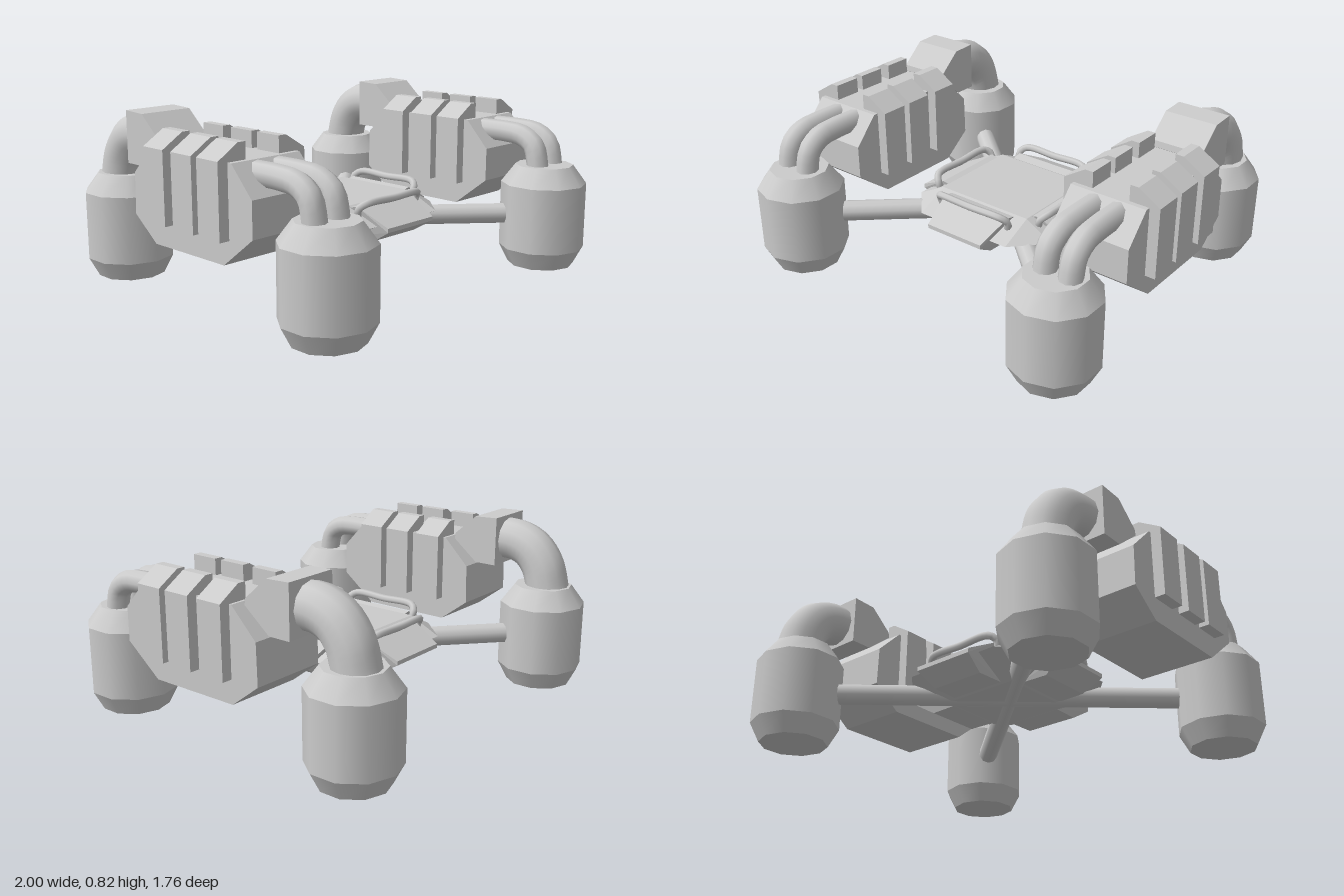
import * as THREE from 'three';
import { mergeGeometries } from 'three/addons/utils/BufferGeometryUtils.js';
import { ConvexGeometry } from 'three/addons/geometries/ConvexGeometry.js';

const smooth = new THREE.MeshStandardMaterial({ color: 0xcccccc });
const flat = new THREE.MeshStandardMaterial({ color: 0xcccccc, flatShading: true });

function add(parent, name, geometry, material = flat) {
  const mesh = new THREE.Mesh(geometry, material);
  mesh.name = name;
  parent.add(mesh);
  return mesh;
}

// Extrudes an x/y outline along z, centred on z = 0
function slab(points, depth) {
  const shape = new THREE.Shape(points.map(([x, y]) => new THREE.Vector2(x, y)));
  return new THREE.ExtrudeGeometry(shape, { depth, bevelEnabled: false }).translate(0, 0, -depth / 2);
}

// Extrudes a z/y side profile across the width in x
const sideProfile = (points, width) => slab(points, width).rotateY(-Math.PI / 2);

function pipe(points, radius, sides = 10, steps = 14) {
  const curve = new THREE.CatmullRomCurve3(points.map((p) => new THREE.Vector3(...p)));
  return new THREE.TubeGeometry(curve, steps, radius, sides);
}

// Canister with a chamfered foot and shoulder
function canisterGeometry() {
  const rings = [[0.16, 0], [0.207, 0.09], [0.207, 0.41], [0.14, 0.5]];
  const parts = [];
  for (let i = 0; i < 3; i++) {
    const [r0, y0] = rings[i], [r1, y1] = rings[i + 1];
    parts.push(new THREE.CylinderGeometry(r1, r0, y1 - y0, 10, 1, true).translate(0, (y0 + y1) / 2, 0));
  }
  for (const [r, y, turn] of [[0.16, 0, 1], [0.14, 0.5, -1]]) {
    // CircleGeometry starts a quarter turn away from CylinderGeometry
    parts.push(new THREE.CircleGeometry(r, 10, Math.PI / 2).rotateX(turn * Math.PI / 2).translate(0, y, 0));
  }
  return mergeGeometries(parts);
}

// Faceted central hub with four flaps and grab handles
function createHub() {
  const hub = new THREE.Group();
  hub.name = 'hub';
  const points = [];
  for (const sx of [-1, 1]) for (const sz of [-1, 1]) {
    const rows = [[0.255, 0.375, 0.23], [0.4, 0.3, 0.235], [0.255, 0.3, 0.39], [0.2, 0.215, 0.2]];
    for (const [x, y, z] of rows) points.push(new THREE.Vector3(sx * x, y, sz * z));
  }
  add(hub, 'hubBody', new ConvexGeometry(points));

  const flap = sideProfile([[0.2, 0.22], [0.35, 0.22], [0.45, 0.28], [0.45, 0.3], [0.29, 0.38], [0.2, 0.36]], 0.38);
  const pos = flap.attributes.position;
  for (let i = 0; i < pos.count; i++) {
    // The flap narrows outwards and towards its underside
    const taper = Math.max(0, pos.getZ(i) - 0.33) * 1.4 + Math.max(0, 0.28 - pos.getY(i)) * 4;
    pos.setX(i, pos.getX(i) * (1 - taper));
  }
  flap.computeVertexNormals();
  const handle = pipe([[-0.2, 0.34, 0.3], [-0.205, 0.375, 0.31], [-0.175, 0.4, 0.335], [0, 0.4, 0.34],
    [0.175, 0.4, 0.335], [0.205, 0.375, 0.31], [0.2, 0.34, 0.3]], 0.018, 7, 24);
  for (let i = 0; i < 4; i++) {
    add(hub, 'hubFlap', flap).rotation.y = i * Math.PI / 2;
    add(hub, 'grabHandle', handle, smooth).rotation.y = i * Math.PI / 2;
  }
  hub.position.set(0.015, 0, -0.005);
  return hub;
}

// Side pod: body, ribs, rear collar and pipes
function createPod() {
  const pod = new THREE.Group();
  pod.name = 'sidePod';
  add(pod, 'podBody', sideProfile([[0.45, 0.57], [0.45, 0.41], [0.27, 0.27], [-0.19, 0.27],
    [-0.335, 0.38], [-0.33, 0.57], [-0.2, 0.7], [0.33, 0.7]], 0.37));

  // Three bracket ribs wrapping each upper edge
  for (const z of [0.24, 0.07, -0.12]) for (const side of [-1, 1]) {
    const outline = [[0.15, 0.38], [0.235, 0.38], [0.235, 0.71], [0.13, 0.775], [0.09, 0.775], [0.09, 0.68], [0.15, 0.68]];
    const rib = add(pod, 'podRib', slab(outline.map(([x, y]) => [side * x, y]), 0.135));
    rib.position.z = z;
  }

  add(pod, 'rearCollar', sideProfile([[-0.22, 0.69], [-0.225, 0.72], [-0.34, 0.82], [-0.46, 0.825],
    [-0.46, 0.585], [-0.35, 0.585]], 0.26));
  add(pod, 'rearPipe', pipe([[0, 0.705, -0.42], [0, 0.7, -0.52], [0, 0.665, -0.6],
    [0, 0.59, -0.66], [0, 0.47, -0.695]], 0.105, 12), smooth);
  for (const side of [-1, 1]) {
    add(pod, 'frontPipe', pipe([[side * 0.058, 0.645, 0.3], [side * 0.058, 0.645, 0.5], [side * 0.06, 0.635, 0.58],
      [side * 0.062, 0.59, 0.645], [side * 0.062, 0.47, 0.675]], 0.053, 9), smooth);
  }
  return pod;
}

export function createModel() {
  const model = new THREE.Group();
  model.name = 'fourCanisterFrame';

  const canister = canisterGeometry();
  for (const x of [-0.757, 0.757]) for (const z of [-0.672, 0.672]) {
    add(model, 'canister', canister, smooth).position.set(x, 0, z);
  }

  // Crossed bars joining opposite canisters
  const bar = new THREE.CylinderGeometry(0.05, 0.05, 2, 10).rotateX(Math.PI / 2).translate(0, 0.255, 0);
  for (const side of [-1, 1]) {
    add(model, 'crossBar', bar, smooth).rotation.y = side * Math.atan2(0.757, 0.672);
  }

  model.add(createHub());
  for (const side of [-1, 1]) {
    const pod = createPod();
    pod.position.x = side * 0.765;
    model.add(pod);
  }
  return model;
}
